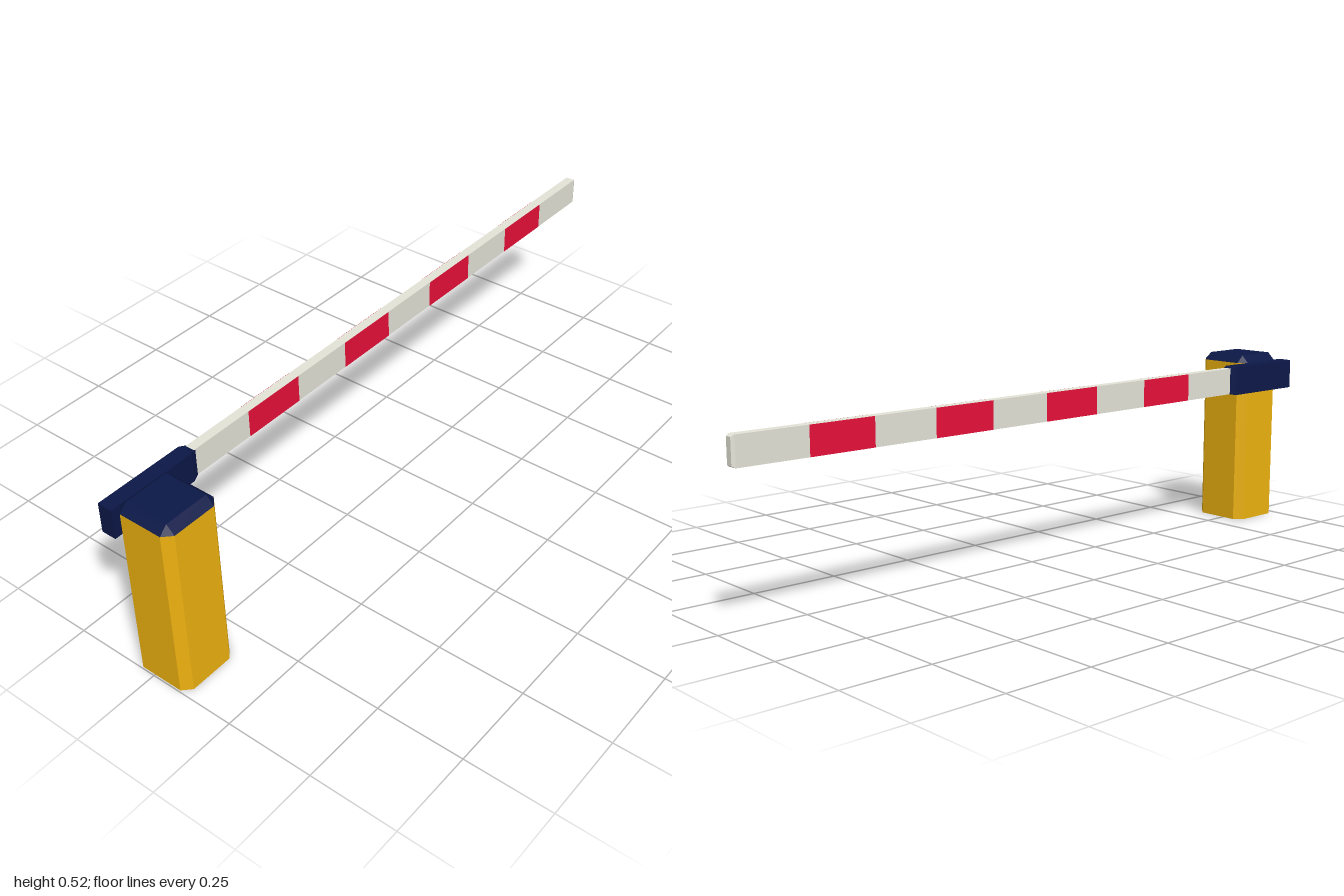
import * as THREE from 'three';

const paint = (color) => new THREE.MeshStandardMaterial({ color, flatShading: true, side: THREE.DoubleSide });

// Rectangle in (a, b) with chamfered corners, counter-clockwise, always 8 points
function ring(t, a, b, c = 0) {
  return [
    [a, -b + c], [a, b - c], [a - c, b], [-a + c, b],
    [-a, b - c], [-a, -b + c], [-a + c, -b], [a - c, -b],
  ].map(([u, v]) => [u, v, t]);
}

// Skin consecutive rings; place maps (a, b, t) to (x, y, z)
function loft(rings, place, capStart, capEnd) {
  const pos = [];
  const tri = (...pts) => {
    const [p, q, r] = pts.map((k) => new THREE.Vector3(...place(...k)));
    const area = q.clone().sub(p).cross(r.clone().sub(p)).length();
    if (area > 1e-9) [p, q, r].forEach((k) => pos.push(k.x, k.y, k.z));
  };
  for (let k = 0; k < rings.length - 1; k++) {
    const lo = rings[k], hi = rings[k + 1];
    for (let i = 0; i < 8; i++) {
      const j = (i + 1) % 8;
      tri(lo[i], lo[j], hi[j]);
      tri(lo[i], hi[j], hi[i]);
    }
  }
  const first = rings[0], last = rings[rings.length - 1];
  for (let i = 1; i < 7; i++) {
    if (capStart) tri(first[0], first[i + 1], first[i]);
    if (capEnd) tri(last[0], last[i], last[i + 1]);
  }
  const geo = new THREE.BufferGeometry();
  geo.setAttribute('position', new THREE.Float32BufferAttribute(pos, 3));
  geo.computeVertexNormals();
  return geo;
}

export function createModel() {
  const group = new THREE.Group();
  const yellow = paint(0xeeb210), navy = paint(0x0c1848);
  const white = paint(0xe4e4d8), red = paint(0xe8103a);
  const add = (name, geo, mat, x = 0, y = 0, z = 0) => {
    const mesh = new THREE.Mesh(geo, mat);
    mesh.name = name;
    mesh.position.set(x, y, z);
    group.add(mesh);
  };
  const upright = (a, b, t) => [b, t, a];
  const sideways = (a, b, t) => [t, a, b];

  // Cabinet: chamfered post, open underneath, with a bevelled lid
  const half = 0.0865, bevel = 0.023, postX = -0.909, postZ = 0.022, postTop = 0.498;
  add('post', loft([ring(0, half, half, bevel), ring(postTop, half, half, bevel)], upright, false, false),
    yellow, postX, 0, postZ);
  add('postCap', loft([ring(postTop, half, half, bevel), ring(0.52, half - bevel, half - bevel)], upright, false, true),
    navy, postX, 0, postZ);

  // Sleeve behind the post that holds the boom, tapered at its outer end
  const armY = 0.456, armZ = -0.0865;
  add('armSleeve', loft([
    ring(-1, 0.043, 0.0215), ring(-0.74, 0.043, 0.0215), ring(-0.72, 0.038, 0.0145),
  ], sideways, true, true), navy, 0, armY, armZ);

  // Boom with a tapered tip
  const armH = 0.039, armD = 0.0135;
  add('boom', loft([
    ring(-0.74, armH, armD), ring(0.991, armH, armD), ring(1, armH - 0.005, armD - 0.004),
  ], sideways, true, true), white, 0, armY, armZ);

  // Red stripes on the front and back faces only
  const stripe = 0.189;
  for (let i = 0; i < 4; i++) {
    for (const side of [1, -1]) {
      const geo = new THREE.PlaneGeometry(stripe, armH * 2);
      if (side < 0) geo.rotateY(Math.PI);
      add(side > 0 ? 'frontStripe' : 'backStripe', geo, red,
        -0.4365 + i * 2 * stripe, armY, armZ + side * (armD + 0.0006));
    }
  }
  return group;
}
